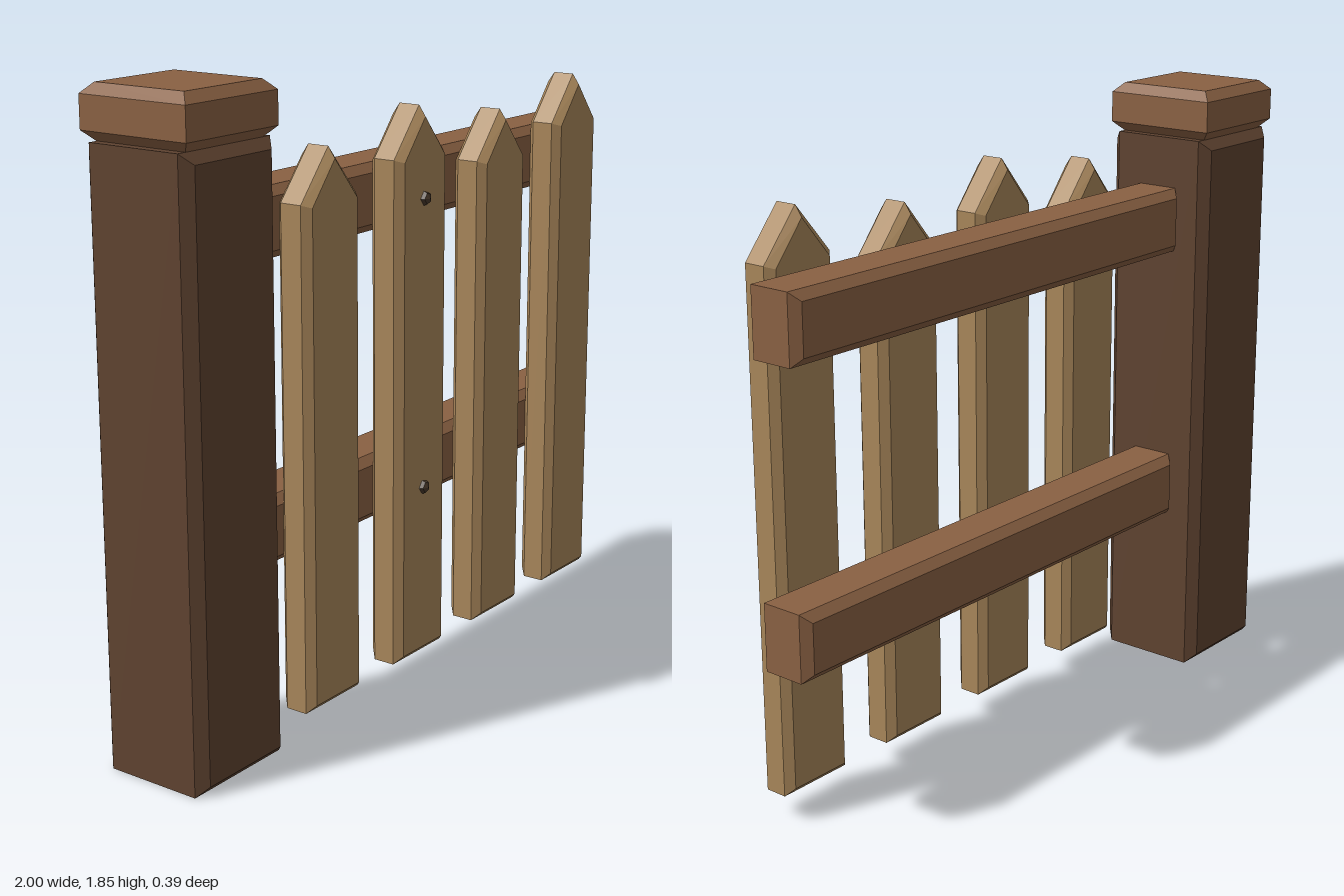
import * as THREE from 'three';

function material(name, color) {
  const m = new THREE.MeshStandardMaterial({ color });
  m.name = name;
  return m;
}

// Outline in x/y extruded from z0 to z1, with chamfered front and back rims
function bevelled(points, z0, z1, bevel) {
  const shape = new THREE.Shape(points.map(([x, y]) => new THREE.Vector2(x, y)));
  const geometry = new THREE.ExtrudeGeometry(shape, {
    depth: z1 - z0 - 2 * bevel,
    bevelEnabled: true,
    bevelSegments: 1,
    bevelSize: bevel,
    bevelThickness: bevel,
    bevelOffset: -bevel,
  });
  return geometry.translate(0, 0, z0 + bevel);
}

const rect = (x0, y0, x1, y1) => [[x0, y0], [x1, y0], [x1, y1], [x0, y1]];

export function createModel() {
  const fence = new THREE.Group();
  fence.name = 'fence';

  const darkWood = material('dark wood', 0x5f4330);
  const midWood = material('mid wood', 0x8a6143);
  const lightWood = material('light wood', 0xa8865a);
  const iron = material('nail iron', 0x4a3a2c);
  iron.flatShading = true;

  const add = (name, geometry, mat) => {
    const mesh = new THREE.Mesh(geometry, mat);
    mesh.name = name;
    fence.add(mesh);
    return mesh;
  };

  // Post and its cap; the cap is chamfered at the top and bottom
  add('post', bevelled(rect(-1, 0, -0.65, 1.703), -0.195, 0.155, 0.029), darkWood);
  const cap = bevelled(rect(-0.175, -0.175, 0.175, 0.175), 0, 0.147, 0.028);
  cap.rotateX(-Math.PI / 2).translate(-0.825, 1.703, -0.02);
  add('postCap', cap, midWood);

  // Two rails
  [['lowerRail', 0.505], ['upperRail', 1.357]].forEach(([name, y]) => {
    add(name, bevelled(rect(-0.65, y, 1, y + 0.195), -0.11, 0.067, 0.025), midWood);
  });

  // Pointed pickets, alternately short and tall
  const half = 0.119;
  for (let i = 0; i < 4; i++) {
    const x = -0.446 + i * 0.412;
    const peak = i % 2 ? 1.712 : 1.652;
    const outline = [
      [x - half, 0.083], [x + half, 0.083],
      [x + half, peak - 0.14], [x, peak], [x - half, peak - 0.14],
    ];
    add('picket' + (i + 1), bevelled(outline, 0.067, 0.177, 0.022), lightWood);
  }

  // Faceted nail heads on the second picket
  const nail = new THREE.SphereGeometry(0.024, 5, 4).rotateX(Math.PI / 2);
  [['lowerNail', 0.605], ['upperNail', 1.453]].forEach(([name, y]) => {
    add(name, nail, iron).position.set(-0.034, y, 0.171);
  });

  return fence;
}
